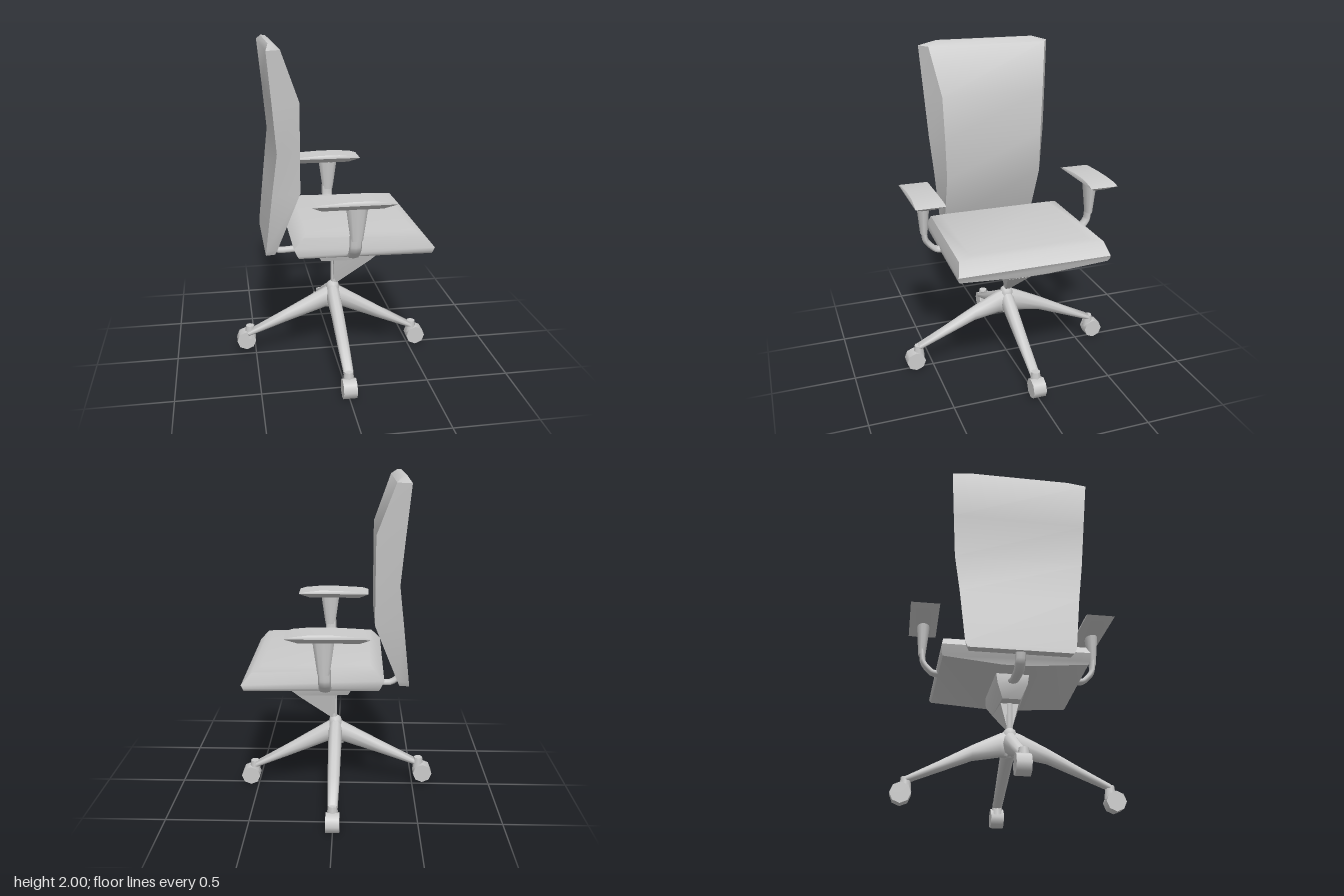
import * as THREE from 'three';
import { toCreasedNormals } from 'three/addons/utils/BufferGeometryUtils.js';

const material = new THREE.MeshStandardMaterial({ color: 0xcccccc });

// Skin a stack of equal-length rings and close both ends
function loft(rings, crease = 0.9) {
  const n = rings[0].length, last = (rings.length - 1) * n, index = [];
  for (let k = 0; k < rings.length - 1; k++) {
    for (let i = 0; i < n; i++) {
      const j = (i + 1) % n, a = k * n + i, b = k * n + j;
      index.push(a, b, b + n, a, b + n, a + n);
    }
  }
  for (let i = 1; i < n - 1; i++) {
    index.push(0, i + 1, i, last, last + i, last + i + 1);
  }
  const g = new THREE.BufferGeometry();
  g.setAttribute('position', new THREE.Float32BufferAttribute(rings.flat(2), 3));
  g.setIndex(index);
  return toCreasedNormals(g, crease);
}

// Four-cornered ring: half width hBack at x0, hFront at x1; yFront tilts it
function quad(y, x0, x1, hBack, hFront = hBack, z = 0, yFront = y) {
  return [[x0, y, z - hBack], [x0, y, z + hBack], [x1, yFront, z + hFront], [x1, yFront, z - hFront]];
}

// Upright oval section at distance z along a leg
function oval(z, y, halfHeight, halfWidth, sides = 10) {
  return Array.from({ length: sides }, (_, i) => {
    const a = (i / sides) * Math.PI * 2;
    return [Math.cos(a) * halfWidth, y + Math.sin(a) * halfHeight, z];
  });
}

function add(parent, name, geometry) {
  const mesh = new THREE.Mesh(geometry, material);
  mesh.name = name;
  parent.add(mesh);
  return mesh;
}

function tube(points, radius) {
  const curve = new THREE.CatmullRomCurve3(points.map(p => new THREE.Vector3(...p)), false, 'catmullrom', 0.3);
  return new THREE.TubeGeometry(curve, 16, radius, 8);
}

// Leg with caster, built along +z and turned to its heading
function makeLeg(turn, sections, reach, wheelY, shift) {
  const leg = new THREE.Group();
  leg.name = 'baseLeg';
  add(leg, 'legArm', loft(sections.map(s => oval(...s)), 1.2));
  const wheel = add(leg, 'casterWheel', new THREE.CylinderGeometry(0.06, 0.06, 0.08, 8));
  wheel.rotation.z = Math.PI / 2;
  wheel.position.set(shift, wheelY, reach);
  const neck = add(leg, 'casterNeck', new THREE.CylinderGeometry(0.027, 0.036, 0.08, 8));
  neck.position.set(shift / 2, wheelY + 0.055, reach - 0.025);
  leg.rotation.y = turn;
  return leg;
}

function makeArmrest(side) {
  const arm = new THREE.Group(), z = side * 0.537;
  arm.name = side > 0 ? 'leftArmrest' : 'rightArmrest';
  add(arm, 'armPad', loft([
    quad(1.132, -0.15, 0.19, 0.036, 0.036, z),
    quad(1.168, -0.21, 0.26, 0.087, 0.087, z),
    quad(1.18, -0.17, 0.22, 0.086, 0.086, z),
    quad(1.19, 0.0, 0.12, 0.08, 0.08, z),
  ]));
  const post = add(arm, 'armPost', new THREE.CylinderGeometry(0.04, 0.022, 0.2, 10));
  post.scale.x = 1.6;
  post.position.set(0.05, 1.04, z);
  const bracket = add(arm, 'armBracket', tube([
    [0, 0.97, z], [0, 0.9, side * 0.53], [0, 0.868, side * 0.512], [0, 0.828, side * 0.47], [0, 0.82, side * 0.42],
  ], 0.018));
  bracket.scale.x = 2;
  bracket.position.x = 0.045;
  return arm;
}

export function createModel() {
  const chair = new THREE.Group();
  chair.name = 'officeChair';

  // Seat cushion, slightly wider and lower at its front edge
  add(chair, 'seat', loft([
    quad(0.78, -0.25, 0.5, 0.08),
    quad(0.808, -0.26, 0.51, 0.425, 0.45),
    quad(0.825, -0.27, 0.515, 0.435, 0.462),
    quad(0.87, -0.29, 0.525, 0.435, 0.46, 0, 0.845),
    quad(0.932, -0.23, 0.465, 0.425, 0.44, 0, 0.915),
    quad(0.942, -0.21, 0.42, 0.36, 0.36, 0, 0.925),
  ]));

  // Backrest, flaring upwards, with a narrower padded front
  add(chair, 'backrest', loft([
    quad(0.79, -0.44, -0.385, 0.3, 0.29),
    quad(0.82, -0.438, -0.372, 0.315, 0.3),
    quad(1.16, -0.4, -0.235, 0.352, 0.31),
    quad(1.41, -0.37, -0.235, 0.385, 0.315),
    quad(1.68, -0.393, -0.235, 0.402, 0.325),
    quad(1.97, -0.42, -0.34, 0.42, 0.375),
    quad(2.0, -0.4, -0.375, 0.31, 0.3),
  ]));

  // Bar joining the backrest to the mechanism
  add(chair, 'backBar', tube([
    [-0.06, 0.75, 0], [-0.13, 0.735, 0], [-0.2, 0.715, 0], [-0.34, 0.708, 0], [-0.39, 0.74, 0], [-0.41, 0.81, 0],
  ], 0.019)).scale.z = 1.6;

  // Tilt mechanism and its tapering underside
  add(chair, 'tiltMechanism', loft([
    quad(0.638, -0.08, 0.23, 0.055, 0.075),
    quad(0.72, -0.12, 0.32, 0.09, 0.105),
    quad(0.79, -0.12, 0.32, 0.1, 0.11),
  ]));
  add(chair, 'mechanismTaper', loft([
    quad(0.47, 0.0, 0.025, 0.012),
    quad(0.64, 0.0, 0.235, 0.055, 0.075),
  ]));
  const column = add(chair, 'gasColumn', new THREE.CylinderGeometry(0.02, 0.02, 0.24, 10));
  column.position.set(0.008, 0.54, 0);

  // Hub of the four-legged base
  const hub = [[0, 0.3], [0.042, 0.31], [0.045, 0.43], [0.036, 0.465], [0.02, 0.478], [0, 0.48]];
  add(chair, 'baseHub', new THREE.LatheGeometry(hub.map(p => new THREE.Vector2(...p)), 12));

  // Straight front and rear legs, arched side legs
  const front = [[0, 0.385, 0.085, 0.045], [0.05, 0.37, 0.068, 0.044], [0.3, 0.24, 0.042, 0.037], [0.53, 0.125, 0.02, 0.03]];
  const rear = [[0, 0.385, 0.085, 0.045], [0.05, 0.37, 0.068, 0.044], [0.3, 0.26, 0.042, 0.036], [0.55, 0.15, 0.02, 0.03]];
  const sideLeg = [[0, 0.385, 0.085, 0.045], [0.06, 0.375, 0.073, 0.044], [0.22, 0.322, 0.047, 0.04],
    [0.42, 0.228, 0.032, 0.036], [0.59, 0.15, 0.022, 0.03]];
  chair.add(
    makeLeg(Math.PI / 2, front, 0.55, 0.065, 0),
    makeLeg(-Math.PI / 2, rear, 0.56, 0.105, -0.02),
    makeLeg(0, sideLeg, 0.615, 0.065, 0),
    makeLeg(Math.PI, sideLeg, 0.615, 0.07, 0),
  );

  for (const side of [1, -1]) chair.add(makeArmrest(side));
  return chair;
}
